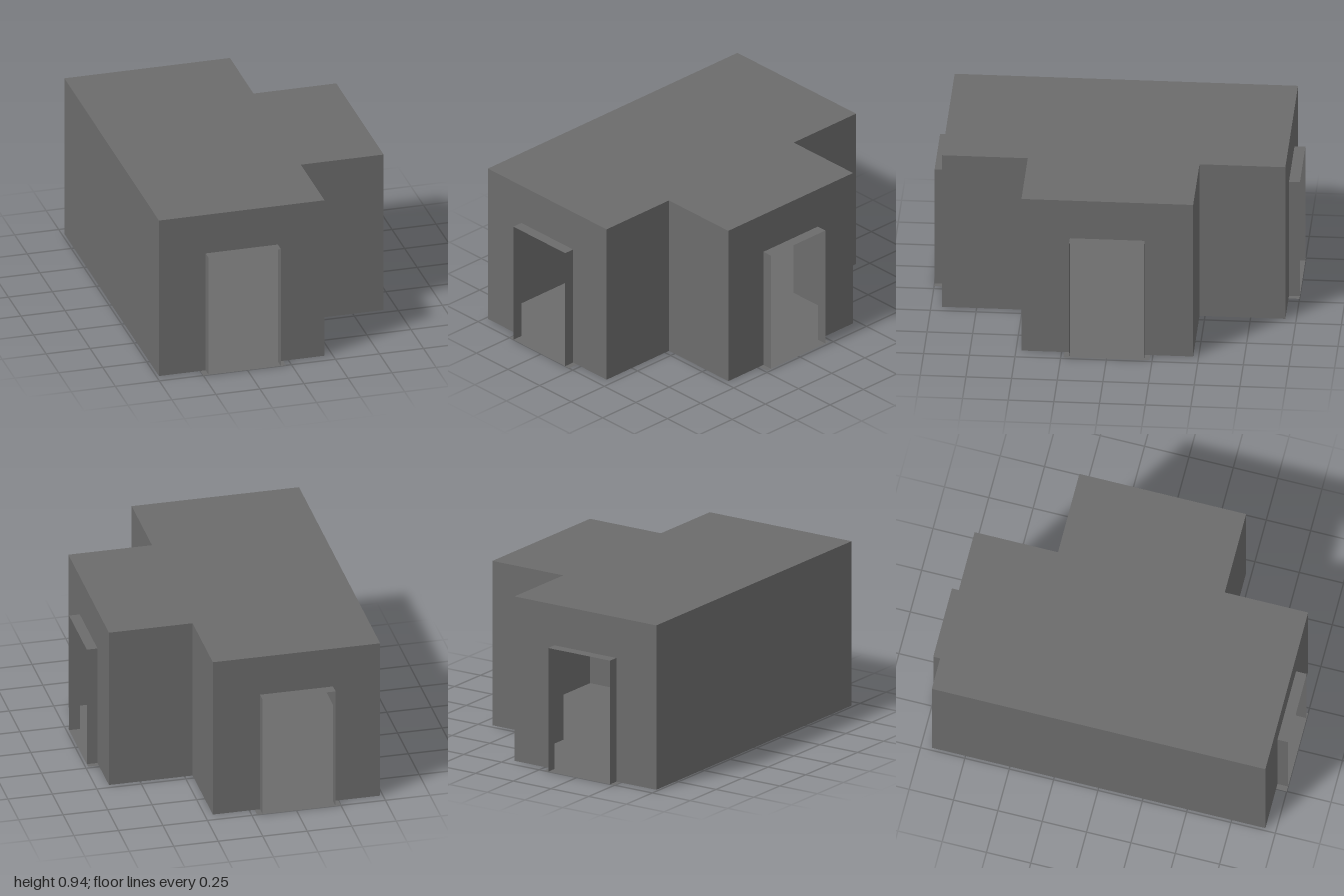
import * as THREE from 'three';

const H = 0.94, DOOR_H = 0.707, DOOR_W = 0.41, SILL_W = 0.47, DEPTH = 0.06;
const X0 = -0.735, X1 = 0.205, X2 = 0.675, Z0 = 0.47, Z1 = 0.94;

export function createModel() {
  const model = new THREE.Group();
  const mat = new THREE.MeshStandardMaterial({ color: 0x6c6c6c, flatShading: true, side: THREE.DoubleSide });

  const sheet = (name, points, parent = model) => {
    const shape = new THREE.Shape(points.map(([x, y]) => new THREE.Vector2(x, y)));
    const mesh = new THREE.Mesh(new THREE.ShapeGeometry(shape), mat);
    mesh.name = name;
    parent.add(mesh);
    return mesh;
  };

  // T-shaped plan, counter-clockwise seen from above, as [x, z]
  const plan = [
    [X0, Z1], [X1, Z1], [X1, Z0], [X2, Z0],
    [X2, -Z0], [X1, -Z0], [X1, -Z1], [X0, -Z1],
  ];
  const doorWalls = { 0: 'front', 3: 'side', 6: 'back' };

  // Floor and roof
  for (const [name, y] of [['floor', 0], ['roof', H]]) {
    const slab = sheet(name, plan.map(([x, z]) => [x, -z]));
    slab.rotation.x = -Math.PI / 2;
    slab.position.y = y;
  }

  // Walls: local x runs along the wall, local z points outwards
  plan.forEach(([ax, az], i) => {
    const [bx, bz] = plan[(i + 1) % plan.length];
    const half = Math.hypot(bx - ax, bz - az) / 2, d = DOOR_W / 2;
    const side = new THREE.Group();
    side.name = doorWalls[i] ? doorWalls[i] + 'DoorWall' : 'plainWall' + i;
    side.position.set((ax + bx) / 2, 0, (az + bz) / 2);
    side.rotation.y = Math.atan2(az - bz, bx - ax);
    model.add(side);

    const doorway = doorWalls[i] ? [[-d, 0], [-d, DOOR_H], [d, DOOR_H], [d, 0]] : [];
    sheet('wall', [[-half, 0], ...doorway, [half, 0], [half, H], [-half, H]], side);
    if (doorWalls[i]) addDoorFrame(side, sheet);
  });

  return model;
}

// Thin doorway lining that projects from the wall, with a wider sill
function addDoorFrame(side, sheet) {
  const d = DOOR_W / 2, s = SILL_W / 2;
  for (const sign of [-1, 1]) {
    const jamb = sheet('doorJamb', [[0, 0], [DEPTH, 0], [DEPTH, DOOR_H], [0, DOOR_H]], side);
    jamb.rotation.y = -Math.PI / 2;
    jamb.position.x = sign * d;
  }
  for (const [name, w, y] of [['doorLintel', d, DOOR_H], ['doorSill', s, 0]]) {
    const plate = sheet(name, [[-w, -DEPTH], [w, -DEPTH], [w, 0], [-w, 0]], side);
    plate.rotation.x = -Math.PI / 2;
    plate.position.y = y;
  }
}
